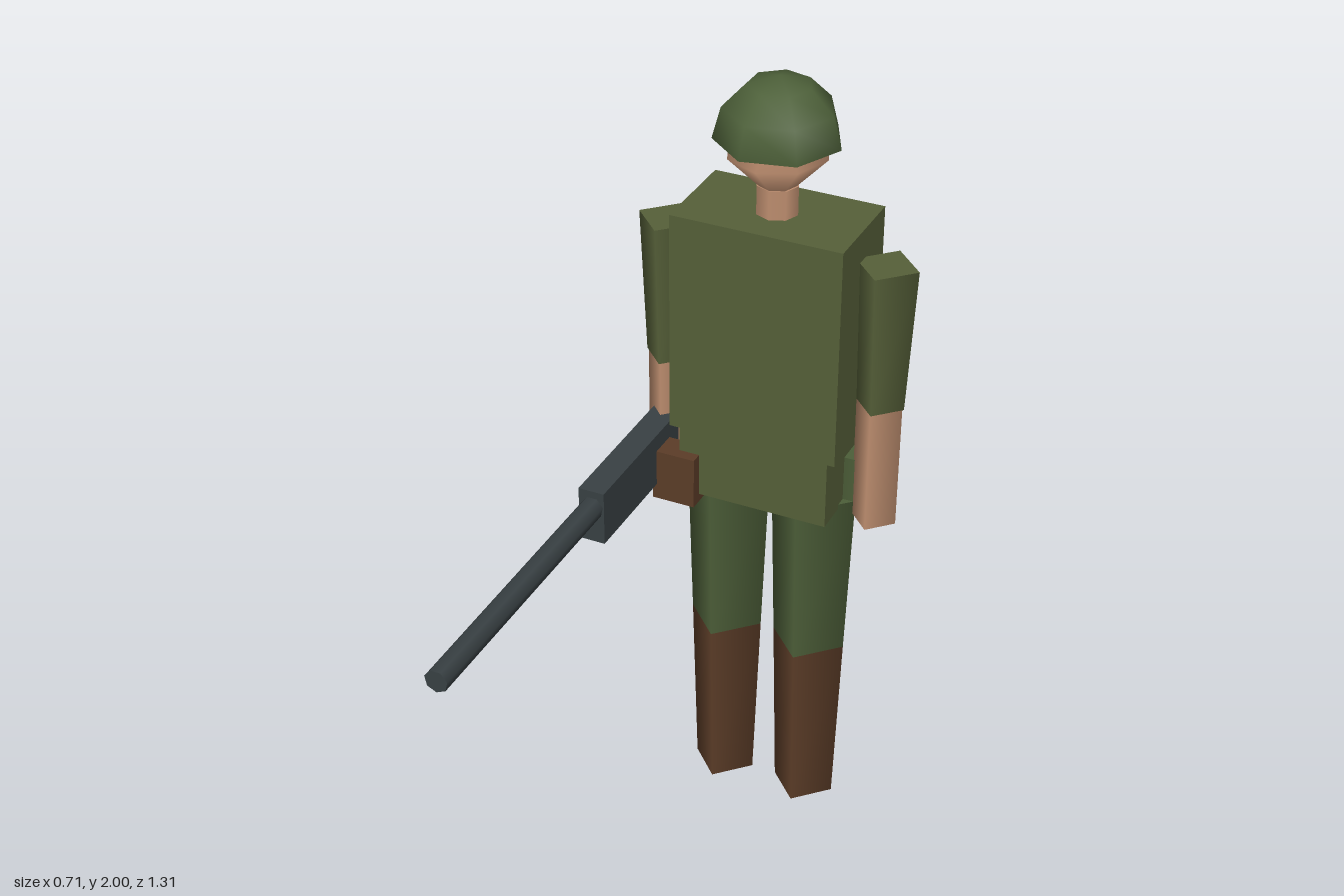
import * as THREE from 'three';

const mat = (name, color, side = THREE.FrontSide) => {
  const m = new THREE.MeshStandardMaterial({ color, side });
  m.name = name;
  return m;
};

export function createModel() {
  const jacket = mat('jacket olive', 0x566039);
  const green = mat('field green', 0x4d5f39);
  const shell = mat('helmet green', 0x4d6039, THREE.DoubleSide);
  const skin = mat('skin', 0xbf8f70);
  const leather = mat('leather brown', 0x5c3d28);
  const metal = mat('gun metal', 0x394144);

  const model = new THREE.Group();
  const Z = -0.505; // the body stands behind the centre, balanced by the gun

  const add = (name, geometry, material, x, y, z) => {
    const mesh = new THREE.Mesh(geometry, material);
    mesh.name = name;
    mesh.position.set(x, y, z);
    model.add(mesh);
    return mesh;
  };
  // Box between two corners
  const box = (name, material, [x0, y0, z0], [x1, y1, z1]) =>
    add(name, new THREE.BoxGeometry(x1 - x0, y1 - y0, z1 - z0), material,
      (x0 + x1) / 2, (y0 + y1) / 2, (z0 + z1) / 2);
  // Upright tapered prism between two heights
  const prism = (name, material, x, z, y0, y1, r0, r1, sides) =>
    add(name, new THREE.CylinderGeometry(r1, r0, y1 - y0, sides), material, x, (y0 + y1) / 2, z);

  // Trunk
  box('torso', jacket, [-0.215, 1.1, -0.632], [0.215, 1.667, -0.38]);
  box('hips', jacket, [-0.193, 0.917, -0.617], [0.193, 1.1, -0.388]);
  prism('neck', skin, 0, Z, 1.66, 1.74, 0.052, 0.052, 8);

  // Head and open helmet
  const head = add('head', new THREE.SphereGeometry(0.13, 8, 2), skin, 0, 1.82, Z);
  head.scale.x = 0.94;
  const helmet = add('helmet',
    new THREE.SphereGeometry(0.152, 7, 3, 0, Math.PI * 2, 0, Math.PI / 2), shell, 0, 1.85, Z);
  helmet.rotation.y = Math.PI;

  // Four-sided limbs, mirrored
  for (const [side, s] of [['left', 1], ['right', -1]]) {
    prism(side + 'Boot', leather, s * 0.114, Z, 0, 0.48, 0.081, 0.096, 4);
    prism(side + 'Trouser', green, s * 0.114, Z, 0.48, 0.93, 0.096, 0.111, 4);
    prism(side + 'Sleeve', jacket, s * 0.275, Z, 1.22, 1.59, 0.06, 0.078, 4);
    prism(side + 'Forearm', skin, s * 0.273, Z, 0.895, 1.22, 0.057, 0.058, 4);
  }

  // Belt gear
  box('pouch', leather, [-0.25, 0.895, -0.43], [-0.14, 1.03, -0.358]);
  const canteen = prism('canteen', green, 0.196, -0.57, 0.895, 1.05, 0.08, 0.08, 6);
  canteen.rotation.y = Math.PI / 6;

  // Rifle
  box('rifleReceiver', metal, [-0.306, 0.935, -0.55], [-0.24, 1.075, -0.076]);
  const barrel = add('rifleBarrel', new THREE.CylinderGeometry(0.029, 0.029, 0.755, 7),
    metal, -0.271, 1.03, 0.2775);
  barrel.rotation.x = Math.PI / 2;

  return model;
}
